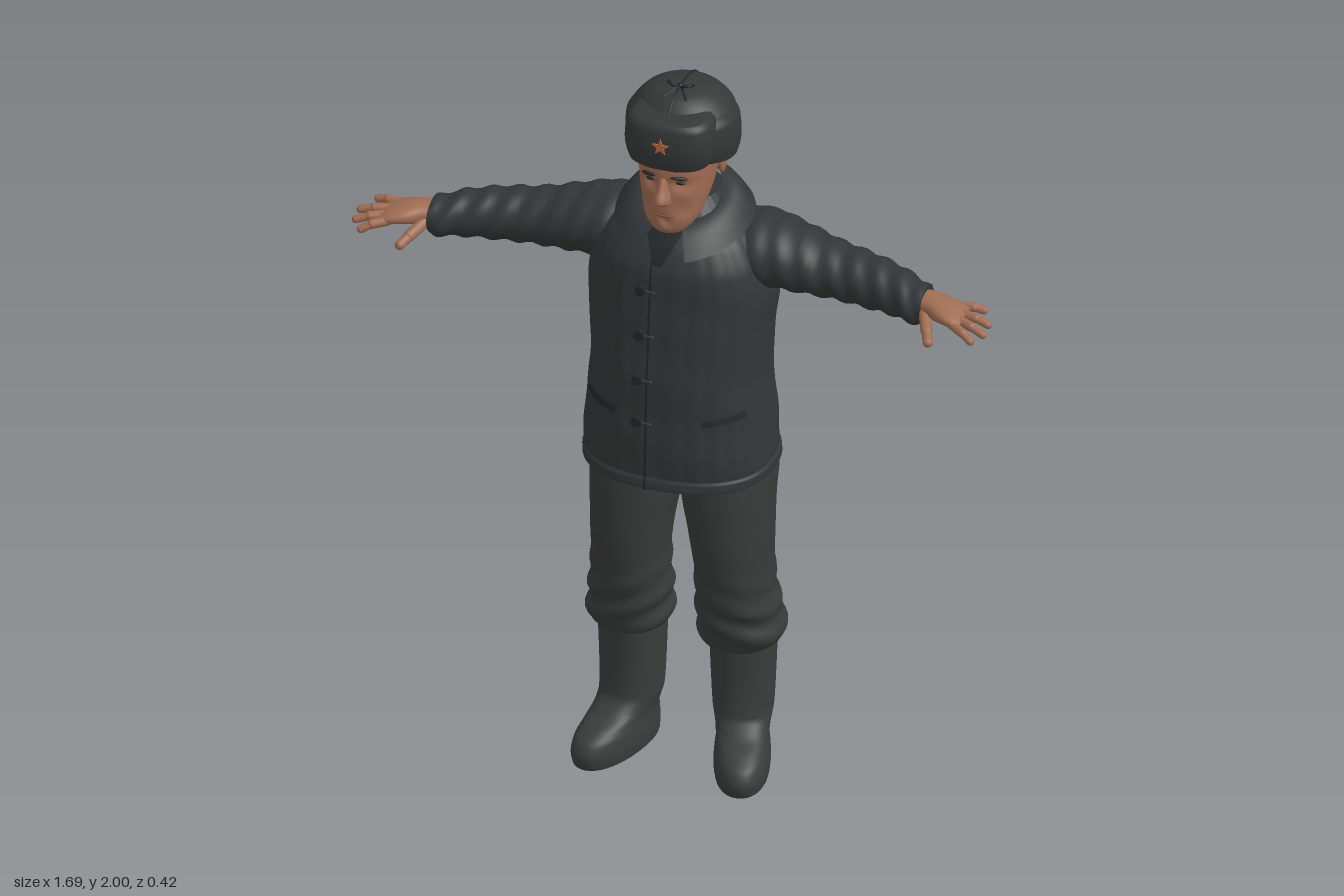
import * as THREE from 'three';

const V = (x, y, z) => new THREE.Vector3(x, y, z);
const material = (name, color, side = THREE.FrontSide) =>
  Object.assign(new THREE.MeshStandardMaterial({ color, side }), { name });

// Smooth interpolation through rows [key, centre, radius, front, back] without overshoot
function sample(rows, t) {
  let i = 0;
  while (i < rows.length - 2 && t > rows[i + 1][0]) i++;
  const h = rows[i + 1][0] - rows[i][0], f = (t - rows[i][0]) / h;
  const slope = (k, c) => (rows[k + 1][c] - rows[k][c]) / (rows[k + 1][0] - rows[k][0]);
  const tangent = (k, c) => {
    if (k === 0) return slope(0, c);
    if (k === rows.length - 1) return slope(k - 1, c);
    const a = slope(k - 1, c), b = slope(k, c);
    return a * b <= 0 ? 0 : 2 * a * b / (a + b);
  };
  return [1, 2, 3, 4].map(c => (2 * f ** 3 - 3 * f * f + 1) * rows[i][c] + (f ** 3 - 2 * f * f + f) * h * tangent(i, c)
    + (3 * f * f - 2 * f ** 3) * rows[i + 1][c] + (f ** 3 - f * f) * h * tangent(i + 1, c));
}

// Closed body through the rows, stacked along y, or along x when sideways
function loft(rows, { n = 2, sideways = false, deform = null, steps = 5, cols = 48 } = {}) {
  const pos = [], idx = [], rings = [];
  const tri = (a, b, c) => sideways ? idx.push(a, c, b) : idx.push(a, b, c);
  for (let i = 0; i < rows.length - 1; i++)
    for (let k = 0; k < steps; k++) rings.push(rows[i][0] + (rows[i + 1][0] - rows[i][0]) * k / steps);
  rings.push(rows[rows.length - 1][0]);
  const power = v => Math.sign(v) * Math.abs(v) ** (2 / n);
  for (const key of rings) {
    const [c, r, wf, wb] = sample(rows, key);
    for (let j = 0; j < cols; j++) {
      const a = j / cols * Math.PI * 2;
      const u = c + r * power(Math.sin(a)), w = (wf + wb) / 2 + (wf - wb) / 2 * power(Math.cos(a));
      const p = sideways ? V(key, u, w) : V(u, key, w);
      if (deform) deform(p, a, key);
      pos.push(p.x, p.y, p.z);
    }
  }
  for (let i = 0; i < rings.length - 1; i++)
    for (let j = 0; j < cols; j++) {
      const a = i * cols + j, b = i * cols + (j + 1) % cols;
      tri(a, b, a + cols); tri(b, b + cols, a + cols);
    }
  for (const [ring, top] of [[0, false], [rings.length - 1, true]]) {
    const base = pos.length / 3, mid = [0, 0, 0];
    for (let j = 0; j < cols; j++)
      for (let c = 0; c < 3; c++) {
        const v = pos[(ring * cols + j) * 3 + c];
        pos.push(v); mid[c] += v / cols;
      }
    pos.push(...mid);
    for (let j = 0; j < cols; j++) {
      const a = base + j, b = base + (j + 1) % cols;
      top ? tri(base + cols, a, b) : tri(base + cols, b, a);
    }
  }
  return finish(pos, idx);
}

function finish(pos, idx) {
  const g = new THREE.BufferGeometry();
  g.setAttribute('position', new THREE.Float32BufferAttribute(pos, 3));
  g.setIndex(idx);
  g.computeVertexNormals();
  return g;
}

// Open surface from a function of u and v
function patch(f, nu = 12, nv = 12) {
  const pos = [], idx = [];
  for (let i = 0; i <= nv; i++) for (let j = 0; j <= nu; j++) pos.push(...f(j / nu, i / nv).toArray());
  for (let i = 0; i < nv; i++) for (let j = 0; j < nu; j++) {
    const a = i * (nu + 1) + j, b = a + nu + 1;
    idx.push(a, a + 1, b, a + 1, b + 1, b);
  }
  return finish(pos, idx);
}

function mirrored(geo) {
  const g = geo.clone().scale(-1, 1, 1), ix = g.index.array;
  for (let i = 0; i < ix.length; i += 3) [ix[i], ix[i + 1]] = [ix[i + 1], ix[i]];
  return g;
}

const ball = (x, y, z, rx, ry, rz) => new THREE.SphereGeometry(1, 20, 14).scale(rx, ry, rz).translate(x, y, z);

// Rounded stick between two points
function stick(a, b, r) {
  const d = b.clone().sub(a), g = new THREE.CapsuleGeometry(r, d.length(), 6, 12);
  g.applyQuaternion(new THREE.Quaternion().setFromUnitVectors(V(0, 1, 0), d.clone().normalize()));
  return g.translate((a.x + b.x) / 2, (a.y + b.y) / 2, (a.z + b.z) / 2);
}

export function createModel() {
  const model = new THREE.Group();
  model.name = 'standingManInWinterClothes';
  const cloth = material('jacketCloth', 0x343536, THREE.DoubleSide);
  const trouser = material('trouserCloth', 0x393a3a);
  const felt = material('bootFelt', 0x3b3c3c);
  const fur = material('hatFur', 0x363838);
  const dark = material('darkTrim', 0x242527, THREE.DoubleSide);
  const skin = material('skin', 0xa06d55);
  const lip = material('lips', 0x82503f);
  const hair = material('hair', 0x2b2725);
  const metal = material('badgeMetal', 0xb5653f);
  const add = (name, geo, mat) => {
    const m = new THREE.Mesh(geo, mat);
    m.name = name;
    model.add(m);
  };
  const pair = (name, geo, mat) => { add(name + 'Left', geo, mat); add(name + 'Right', mirrored(geo), mat); };

  // Quilted jacket body
  const body = [[.895, 0, .235, .198, -.195], [.905, 0, .25, .212, -.208], [.925, 0, .25, .21, -.206], [.935, 0, .244, .205, -.2],
    [1, 0, .243, .204, -.195], [1.1, 0, .234, .198, -.19], [1.2, 0, .227, .193, -.19], [1.3, 0, .232, .182, -.195],
    [1.4, 0, .24, .172, -.198], [1.5, 0, .225, .163, -.198], [1.56, 0, .195, .138, -.188], [1.6, 0, .155, .105, -.17],
    [1.64, 0, .115, .07, -.145], [1.67, 0, .085, .045, -.12]];
  add('jacketBody', loft(body, { n: 2.4, cols: 144, deform: (p, a, y) => {
    const k = 1 + .011 * Math.abs(Math.sin(a * 13)) * (y > .935 ? 1 : 0) + .005 * Math.sin(y * 38 + a * 3) - .006;
    p.x *= k; p.z *= k;
  } }), cloth);
  const onFront = (x, y, off = .006) => {
    const [, r, f, b] = sample(body, y);
    return V(x, y, (f + b) / 2 + (f - b) / 2 * Math.max(0, 1 - Math.abs(x / r) ** 2.4) ** (1 / 2.4) + off);
  };
  add('frontPlacket', patch((u, v) => onFront(-.03 + u * .006, .9 + v * .65, .005), 2, 40), dark);
  for (const y of [1.09, 1.21, 1.335, 1.46]) {
    const p = onFront(-.052, y, .006);
    add('button', new THREE.CylinderGeometry(.014, .014, .012, 16).rotateX(Math.PI / 2).translate(p.x, p.y, p.z), dark);
    add('buttonLoop', stick(p, onFront(-.015, y, .006), .004), cloth);
  }
  pair('pocketWelt', patch((u, v) => onFront(.115 + u * .095, 1.095 + v * .018 + u * .012, .007 - .004 * v), 10, 2), dark);
  add('shirtFront', patch((u, v) => onFront(-.012 + (u - .5) * (.02 + v * .09), 1.53 + v * .09, .004)), dark);
  add('shirtCollar', loft([[1.59, 0, .08, .085, -.1], [1.63, 0, .075, .075, -.105], [1.655, 0, .066, .06, -.1]]), dark);

  // Turned-down collar, one half mirrored
  const collarPoint = (t, v) => {
    const a0 = .22 + t * (Math.PI - .22), a1 = .36 + t * (Math.PI - .36), mix = (a, b) => a + (b - a) * v;
    const ring = (a, rx, rf, rb) => [rx * Math.sin(a), -.035 + (Math.cos(a) > 0 ? rf : rb) * Math.cos(a)];
    const [x0, z0] = ring(a0, .092, .108, .078), [x1, z1] = ring(a1, .178, .212, .132);
    return V(mix(x0, x1), mix(1.665 - .035 * Math.cos(a0), 1.603 - .045 * Math.cos(a1)) + .02 * Math.sin(v * Math.PI), mix(z0, z1));
  };
  pair('collar', patch((u, v) => collarPoint(u, 1 - v), 28, 8), cloth);

  // Sleeves with soft creases
  pair('sleeve', loft([[.12, 1.51, .082, .04, -.17], [.2, 1.512, .092, .06, -.17], [.28, 1.503, .085, .052, -.156],
    [.4, 1.487, .072, .035, -.126], [.5, 1.483, .067, .045, -.1], [.58, 1.48, .059, .062, -.073], [.635, 1.476, .052, .08, -.046],
    [.655, 1.476, .045, .078, -.038]], { sideways: true, steps: 8, deform: (p, a, x) => {
    const s = .0035 * Math.sin(x * 95 + 2.5 * Math.sin(a)) * Math.min(1, (x - .12) * 6);
    p.y += s * Math.sin(a); p.z += s * Math.cos(a);
  } }), cloth);

  // Hands
  pair('palm', loft([[.62, 1.48, .03, .052, -.014], [.67, 1.486, .028, .07, -.014], [.71, 1.487, .024, .096, -.006],
    [.75, 1.483, .018, .108, -.002], [.772, 1.48, .011, .104, .006]], { sideways: true, n: 2.3, cols: 32 }), skin);
  const fingers = [
    ['indexFinger', [.75, 1.478, .094], [.785, 1.474, .116], [.81, 1.461, .128]],
    ['middleFinger', [.755, 1.482, .07], [.80, 1.48, .09], [.833, 1.469, .1]],
    ['ringFinger', [.755, 1.484, .042], [.80, 1.484, .054], [.834, 1.475, .06]],
    ['littleFinger', [.745, 1.484, .013], [.78, 1.487, .01], [.805, 1.482, .008]],
    ['thumb', [.665, 1.472, .06], [.688, 1.455, .11], [.702, 1.444, .142]]];
  for (const [name, a, b, c] of fingers) {
    const r = name === 'thumb' ? .015 : .0125;
    pair(name + 'Base', stick(V(...a), V(...b), r), skin);
    pair(name + 'Tip', stick(V(...b), V(...c), r * .85), skin);
  }

  // Trousers bunched over the boot tops
  pair('trouserLeg', loft([[.362, .148, .09, .055, -.128], [.375, .148, .102, .072, -.142], [.41, .147, .11, .085, -.148],
    [.45, .145, .106, .09, -.142], [.5, .141, .102, .102, -.13], [.6, .137, .098, .115, -.125], [.7, .131, .105, .124, -.13],
    [.8, .122, .116, .124, -.14], [.88, .118, .122, .12, -.16], [.95, .115, .122, .12, -.165]], { n: 2.2, deform: (p, a, y) => {
    const s = .006 * Math.sin(y * 75 + 3 * Math.sin(a)) * Math.max(0, 1 - Math.abs(y - .46) / .18);
    p.x += s * Math.sin(a); p.z += s * Math.cos(a);
  } }), trouser);
  add('trouserSeat', loft([[.815, 0, .03, .03, -.06], [.84, 0, .11, .085, -.12], [.9, 0, .18, .11, -.15], [.95, 0, .2, .11, -.16]]), trouser);

  // Felt boots with toes turned out
  pair('boot', loft([[0, 0, .058, .2, -.074], [.012, 0, .069, .222, -.086], [.045, 0, .072, .23, -.088], [.075, 0, .07, .218, -.086],
    [.1, 0, .067, .18, -.084], [.125, 0, .07, .122, -.084], [.16, 0, .077, .086, -.085], [.25, 0, .082, .08, -.087],
    [.38, 0, .087, .084, -.09]], { n: 2.2 }).rotateY(.29).translate(.148, 0, -.042), felt);

  // Head with eye sockets, cheeks and mouth crease shaped in
  const bumps = [[.037, 1.772, -.012, .018], [.055, 1.74, .005, .02], [.05, 1.69, -.006, .02], [0, 1.664, -.006, .012], [0, 1.638, .006, .016]];
  add('head', loft([[1.612, 0, .028, .118, .06], [1.622, 0, .047, .134, .03], [1.65, 0, .068, .142, 0], [1.68, 0, .079, .146, -.04],
    [1.72, 0, .089, .145, -.08], [1.76, 0, .095, .145, -.1], [1.795, 0, .098, .151, -.11], [1.86, 0, .1, .145, -.12]],
  { n: 2.2, cols: 72, deform: p => {
    if (p.z > .05) for (const [x, y, d, s] of bumps)
      p.z += d * Math.exp(-((Math.abs(p.x) - x) ** 2 + (p.y - y) ** 2) / (s * s));
  } }), skin);
  add('neck', loft([[1.58, 0, .06, .04, -.09], [1.66, 0, .064, .05, -.092], [1.78, 0, .08, .04, -.1]]), skin);
  add('nose', loft([[1.712, 0, .008, .16, .12], [1.718, 0, .021, .172, .12], [1.733, 0, .021, .187, .12], [1.76, 0, .014, .172, .12],
    [1.79, 0, .011, .154, .12]], { cols: 24 }), skin);
  pair('ear', ball(.101, 1.765, -.012, .011, .034, .02).rotateY(.08), skin);
  pair('eye', ball(.037, 1.771, .128, .015, .005, .006), hair);
  pair('eyebrow', ball(0, 0, 0, .022, .005, .006).rotateZ(-.1).rotateY(.35).translate(.04, 1.792, .141), hair);
  add('mouth', ball(0, 1.675, .139, .028, .005, .008), lip);
  add('hair', loft([[1.705, 0, .07, -.03, -.1], [1.74, 0, .09, .0, -.108], [1.79, 0, .103, .04, -.116], [1.85, 0, .105, .04, -.12]]), hair);

  // Fur hat: crown, raised ear flaps, front flap, seam, tied strings and badge
  const tilt = p => { p.y += .25 * p.z * Math.max(0, Math.min(1, (1.95 - p.y) / .14)); };
  add('hatCrown', loft([[1.79, 0, .11, .1, -.11], [1.802, 0, .128, .118, -.132], [1.86, 0, .138, .132, -.153], [1.915, 0, .132, .124, -.146],
    [1.95, 0, .107, .1, -.115], [1.972, 0, .075, .074, -.08], [1.983, 0, .035, .04, -.035], [1.985, 0, .008, .01, -.008]], { deform: tilt }), fur);
  add('hatEarFlaps', loft([[1.782, 0, .112, .09, -.095], [1.795, 0, .135, .108, -.12], [1.85, 0, .145, .118, -.135], [1.9, 0, .142, .115, -.13],
    [1.925, 0, .128, .1, -.115]], { n: 2.3, deform: tilt }), fur);
  add('hatFrontFlap', loft([[1.812, 0, .088, .148, 0], [1.822, 0, .106, .157, 0], [1.88, 0, .116, .168, 0], [1.93, 0, .111, .163, 0],
    [1.947, 0, .098, .153, .01], [1.952, 0, .08, .135, .02]], { n: 2.7 }), fur);
  const seam = new THREE.CatmullRomCurve3([V(0, 1.945, .11), V(0, 1.973, .075), V(0, 1.986, 0), V(0, 1.972, -.08), V(0, 1.948, -.116), V(0, 1.88, -.152)]);
  add('hatSeam', new THREE.TubeGeometry(seam, 30, .003, 6), dark);
  pair('stringLoop', new THREE.TorusGeometry(.014, .004, 8, 18).rotateX(1.1).rotateZ(.35).translate(.019, 1.987, .015), dark);
  pair('stringEnd', stick(V(.005, 1.985, .02), V(.03, 1.974, .06), .004), dark);
  add('stringKnot', ball(0, 1.986, .015, .008, .007, .008), dark);
  const star = new THREE.Shape();
  for (let i = 0; i < 10; i++) {
    const r = i % 2 ? .01 : .023, a = Math.PI / 2 + i * Math.PI / 5;
    star[i ? 'lineTo' : 'moveTo'](r * Math.cos(a), r * Math.sin(a));
  }
  add('hatBadge', new THREE.ExtrudeGeometry(star, { depth: .006, bevelEnabled: false }).translate(0, 1.892, .165), metal);
  return model;
}
